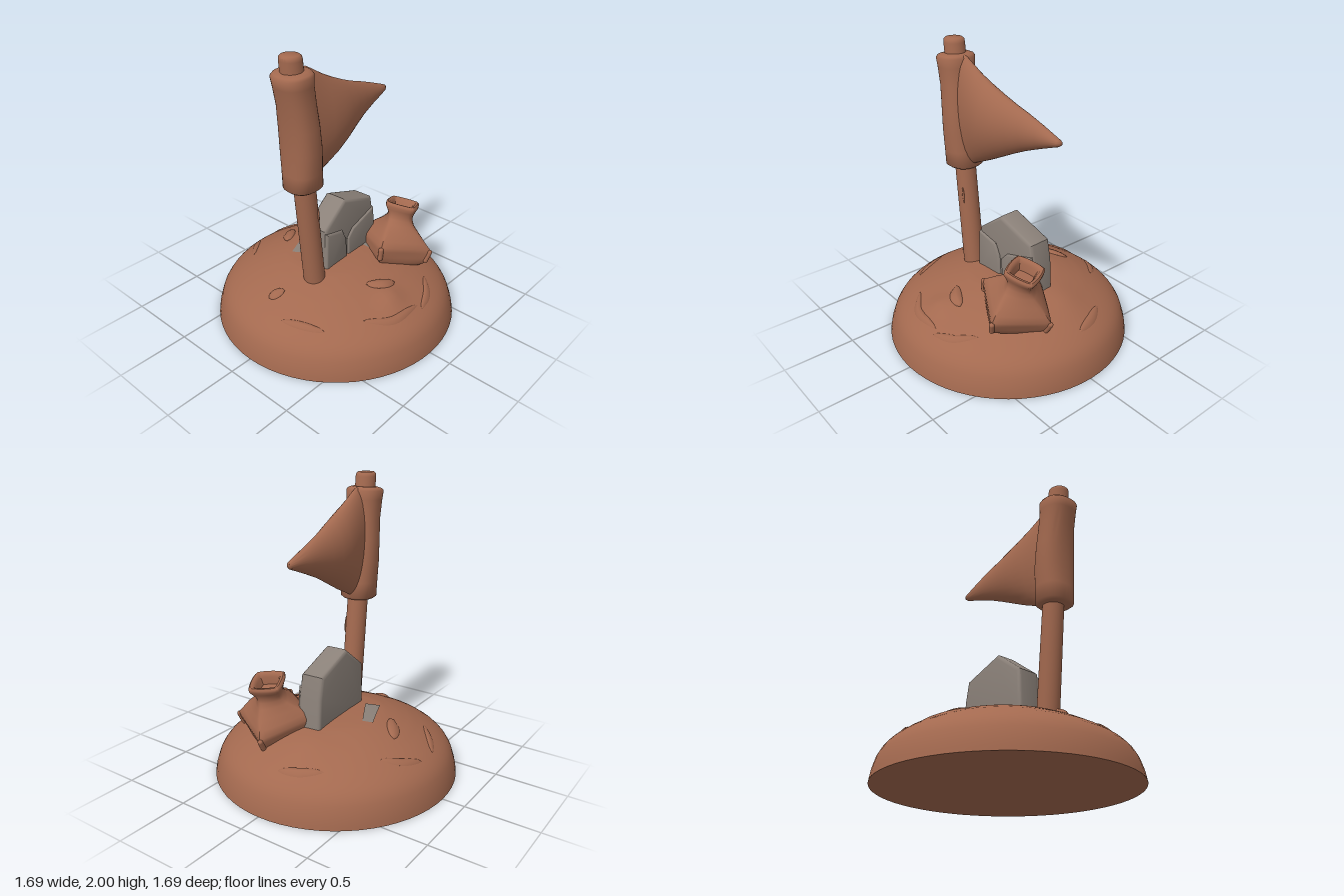
import * as THREE from 'three';
import { toCreasedNormals, mergeVertices } from 'three/addons/utils/BufferGeometryUtils.js';

const V = (x, y, z) => new THREE.Vector3(x, y, z);

// Closed skin over a list of equal-length rings, capped at both ends, always facing outwards
function loft(rings, crease = 0.8) {
  const n = rings[0].length, pts = rings.flat(), idx = [];
  for (let i = 0; i < rings.length - 1; i++) for (let j = 0; j < n; j++) {
    const k = (j + 1) % n, a = i * n + j, b = i * n + k;
    idx.push(a, b, a + n, b, b + n, a + n);
  }
  for (const [row, flip] of [[0, true], [rings.length - 1, false]]) {
    const mid = V(0, 0, 0);
    rings[row].forEach(p => mid.addScaledVector(p, 1 / n));
    const c = pts.push(mid) - 1;
    for (let j = 0; j < n; j++) {
      const a = row * n + j, b = row * n + (j + 1) % n;
      idx.push(...(flip ? [c, b, a] : [c, a, b]));
    }
  }
  let volume = 0;
  for (let i = 0; i < idx.length; i += 3) {
    volume += pts[idx[i]].dot(V(0, 0, 0).crossVectors(pts[idx[i + 1]], pts[idx[i + 2]]));
  }
  if (volume < 0) idx.reverse();
  const g = new THREE.BufferGeometry().setFromPoints(pts);
  g.setIndex(idx);
  return toCreasedNormals(g, crease);
}

// Ring of n points from a rule of the angle
const ring = (n, f) => Array.from({ length: n }, (_, i) => f(i / n * Math.PI * 2));
const spow = (v, p) => Math.sign(v) * Math.abs(v) ** p;

// Ground profile: radius, height
const PROFILE = [[0, .435], [.2, .432], [.3, .422], [.4, .395], [.5, .36], [.6, .315], [.68, .272],
  [.74, .23], [.78, .19], [.81, .14], [.835, .06], [.845, 0]];
function groundAt(x, z) {
  const w = Math.max(0, 1 - (x * x + z * z) / .714);
  const r = Math.min(.845, Math.hypot(x, z + .05 * w));
  const i = Math.max(1, PROFILE.findIndex(p => p[0] >= r - 1e-6));
  const [r0, h0] = PROFILE[i - 1], [r1, h1] = PROFILE[i];
  const bump = (cx, cz, s, a) => a * Math.exp(-((x - cx) ** 2 + (z - cz) ** 2) / (s * s));
  return h0 + (h1 - h0) * (r - r0) / (r1 - r0)
    + w * (bump(-.06, .56, .09, .055) + bump(.5, -.1, .15, .03));
}

export function createModel() {
  const model = new THREE.Group();
  const clay = new THREE.MeshStandardMaterial({ color: 0xa3694f });
  clay.name = 'clay brown';
  const stone = new THREE.MeshStandardMaterial({ color: 0x8b8179 });
  stone.name = 'stone grey';
  const add = (name, geometry, material = clay, parent = model) => {
    const m = new THREE.Mesh(geometry, material);
    m.name = name;
    parent.add(m);
    return m;
  };

  // Mound
  const radii = [.845, .841, .835, .825, .81, .795, .78, .76, .74, .71];
  for (let r = .68; r > .02; r -= .03) radii.push(r);
  add('mound', loft(radii.map(r => ring(64, t => {
    const x = r * Math.cos(t), z = r * Math.sin(t);
    return V(x, groundAt(x, z), z);
  }))));

  // Raised streaks on the mound: path points (x, z) and half width
  const streaks = [
    [.022, [-.31, -.53], [-.2, -.63], [-.09, -.71]], [.022, [.06, -.71], [.19, -.64], [.29, -.54]],
    [.025, [.58, -.31], [.65, -.18], [.69, -.04]], [.038, [-.11, -.38], [-.02, -.45], [.07, -.51]],
    [.022, [-.66, .12], [-.61, .26], [-.55, .4]], [.038, [-.11, .37], [-.02, .44], [.07, .47]],
    [.022, [-.33, .53], [-.17, .65], [.07, .67]], [.022, [.08, .7], [.22, .64], [.34, .53]],
    [.035, [-.59, -.07], [-.55, -.05], [-.5, -.01]],
  ];
  for (const [width, ...path] of streaks) {
    const curve = new THREE.CatmullRomCurve3(path.map(([x, z]) => V(x, 0, z)));
    add('groundStreak', loft(Array.from({ length: 13 }, (_, i) => {
      const p = curve.getPoint(i / 12), d = curve.getTangent(i / 12);
      const w = width * (.08 + Math.sin(Math.PI * i / 12) ** .6);
      return ring(8, t => {
        const s = w * Math.cos(t), x = p.x - d.z * s, z = p.z + d.x * s;
        return V(x, groundAt(x, z) + .5 * w * Math.sin(t), z);
      });
    }), 1.2));
  }

  // Grey patches lying on the mound (corners: near left, near right, far right, far left)
  const patch = (a, b, c, d) => {
    const g = new THREE.PlaneGeometry(1, 1, 8, 8), p = g.attributes.position;
    for (let i = 0; i < p.count; i++) {
      const u = p.getX(i) + .5, v = p.getY(i) + .5;
      const mix = k => (a[k] * (1 - u) + b[k] * u) * (1 - v) + (d[k] * (1 - u) + c[k] * u) * v;
      p.setXYZ(i, mix(0), groundAt(mix(0), mix(1)) + .005, mix(1));
    }
    g.computeVertexNormals();
    add('greyPatch', g, stone);
  };
  patch([-.16, -.14], [.08, -.27], [.05, -.335], [-.21, -.23]);
  patch([.2, .16], [.31, .16], [.33, .06], [.19, .06]);

  // Leaning pole
  const POLE_Z = .073;
  add('pole', loft([[.3, .073], [.43, .073], [1.2, .071], [1.97, .07], [1.99, .067], [2, .055]].map(([y, r]) =>
    ring(32, t => V(-.3 - (y - .42) * .104 + r * Math.cos(t), y, POLE_Z + r * Math.sin(t))))));
  const nick = add('poleNick', new THREE.SphereGeometry(1, 12, 8));
  nick.scale.set(.008, .06, .008);
  nick.position.set(-.32, .93, .138);
  nick.rotation.z = .1;

  // Flag sleeve: height, left edge, right edge, half depth
  const flag = new THREE.Group();
  flag.name = 'flag';
  model.add(flag);
  const sleeve = [[1.13, -.49, -.28, .1], [1.145, -.505, -.265, .12], [1.25, -.505, -.275, .125],
    [1.4, -.505, -.285, .135], [1.55, -.515, -.3, .13], [1.7, -.532, -.32, .12], [1.82, -.557, -.335, .12],
    [1.88, -.57, -.335, .125], [1.895, -.555, -.345, .115], [1.905, -.52, -.37, .09]];
  add('flagSleeve', loft(sleeve.map(([y, l, r, dz]) => ring(36, t => {
    const x = (l + r) / 2 + (r - l) / 2 * spow(Math.cos(t), .85);
    return V(x, y + (x + .4) * .05, POLE_Z + dz * spow(Math.sin(t), .85));
  })), 1), clay, flag);

  // Flag cloth: x, bottom, top, centre z, half thickness
  const cloth = [[-.4, 1.15, 1.905, .073, .08], [-.345, 1.15, 1.905, .073, .085], [-.3, 1.16, 1.88, .072, .09],
    [-.2, 1.205, 1.82, .067, .11], [-.1, 1.25, 1.77, .06, .118], [0, 1.3, 1.725, .048, .11],
    [.1, 1.35, 1.685, .034, .09], [.2, 1.397, 1.652, .022, .071], [.32, 1.445, 1.61, .012, .05],
    [.42, 1.483, 1.573, .007, .034], [.475, 1.503, 1.552, .003, .023], [.493, 1.516, 1.543, 0, .012]];
  add('flagCloth', loft(cloth.map(([x, lo, hi, zc, th]) => ring(32, t =>
    V(x, (lo + hi) / 2 + (hi - lo) / 2 * Math.cos(t), zc + th * spow(Math.sin(t), 1.25)))), 1.2), clay, flag);

  // Rock: thick body with two chipped slabs on its front
  const rock = new THREE.Group();
  rock.name = 'rock';
  rock.rotation.y = .05;
  model.add(rock);
  const slab = (name, pts, z0, z1, bevel) => {
    const shape = new THREE.Shape(pts.map(([x, y]) => new THREE.Vector2(x, y)));
    const g = new THREE.ExtrudeGeometry(shape, {
      depth: z1 - z0 - 2 * bevel, bevelSize: bevel, bevelThickness: bevel,
      bevelOffset: -bevel, bevelSegments: 3,
    });
    g.translate(0, 0, z0 + bevel);
    add(name, toCreasedNormals(g, .7), stone, rock);
  };
  slab('rockBody', [[-.215, .36], [.35, .36], [.335, .62], [.305, .77], [.005, .875], [-.205, .715]], -.092, .078, .024);
  slab('rockChip', [[-.21, .38], [.015, .38], [.005, .57], [-.035, .655], [-.2, .695]], .02, .094, .015);
  slab('rockChip', [[.03, .38], [.34, .38], [.315, .69], [.08, .62], [.025, .56]], .02, .092, .015);

  // Tilted four-cornered sack: height, corner radius, squareness, twist
  const sack = new THREE.Group();
  sack.name = 'sack';
  sack.position.set(.345, .36, .235);
  sack.rotation.z = -.28;
  model.add(sack);
  const sackRings = [[-.03, .21, 1.1, 0], [-.005, .245, 1.05, 0], [.03, .26, 1, 0], [.075, .275, 1, 0],
    [.105, .272, 1.05, 0], [.14, .235, 1.1, .04], [.19, .185, 1.15, .12], [.235, .13, 1.3, .25], [.27, .108, 1.4, .4],
    [.3, .104, 1.4, .5], [.335, .122, 1.3, .6], [.36, .138, 1.25, .65], [.378, .138, 1.25, .65],
    [.388, .125, 1.25, .65], [.384, .105, 1.2, .65], [.36, .09, 1.2, .65], [.31, .075, 1.2, .65]];
  add('sackBody', loft(sackRings.map(([y, r, n, twist]) => ring(48, t => {
    const c = Math.cos(t), s = Math.sin(t);
    const k = r / (Math.abs(c) ** n + Math.abs(s) ** n) ** (1 / n);
    const a = t - .28 + twist;
    return V(k * Math.cos(a), y, k * Math.sin(a));
  })), .9), clay, sack);

  // Pinched corners of the sack
  for (let i = 0; i < 4; i++) {
    const a = i * Math.PI / 2 - .28;
    const ear = add('sackCorner', mergeVertices(new THREE.CapsuleGeometry(.018, .07, 4, 10)), clay, sack);
    ear.position.set(.262 * Math.cos(a), .055, .262 * Math.sin(a));
    ear.rotation.set(0, -a, -.25);
  }
  return model;
}
